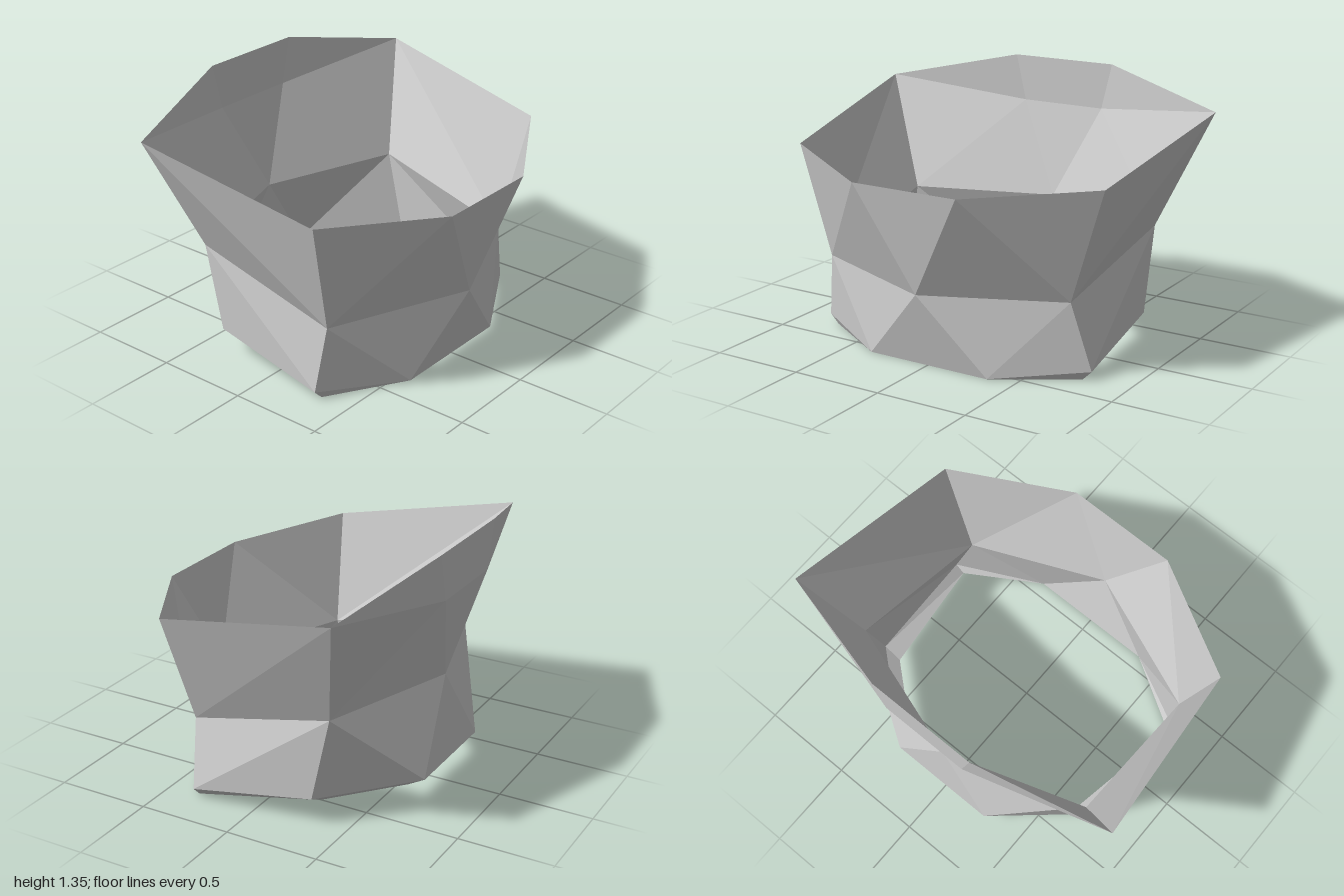
import * as THREE from 'three';

const grey = new THREE.MeshStandardMaterial({ color: 0xcccccc, flatShading: true, side: THREE.DoubleSide });
grey.name = 'plain grey';

// Symmetric ring of eight points from its +x half: front corner, front, back, back corner.
function ring(frontCorner, front, back, backCorner) {
  const m = ([x, y, z]) => [-x, y, z];
  return [frontCorner, front, m(front), m(frontCorner), m(backCorner), m(back), back, backCorner];
}

// Faceted band between two rings; each letter picks the diagonal of one quad.
function band(name, top, bottom, diagonals) {
  const pos = [];
  const same = (p, q) => p.every((v, i) => v === q[i]);
  const tri = (p, q, r) => {
    if (!same(p, q) && !same(q, r) && !same(p, r)) pos.push(...p, ...q, ...r);
  };
  for (let i = 0; i < 8; i++) {
    const j = (i + 1) % 8;
    const a = top[i], b = top[j], c = bottom[j], d = bottom[i];
    if (diagonals[i] === '/') { tri(a, b, d); tri(b, c, d); }
    else { tri(a, b, c); tri(a, c, d); }
  }
  const g = new THREE.BufferGeometry();
  g.setAttribute('position', new THREE.Float32BufferAttribute(pos, 3));
  g.computeVertexNormals();
  const mesh = new THREE.Mesh(g, grey);
  mesh.name = name;
  return mesh;
}

export function createModel() {
  const rim = ring([0.9, 1, 0.42], [0.3, 0.95, 0.77], [0.3, 1.35, -0.775], [1, 1.2, -0.58]);
  const upper = ring([0.9, 1, 0.42], [0.3, 0.95, 0.77], [0.24, 1.1, -0.775], [1, 1.2, -0.58]);
  // The waist has a single point at the front and at the back, and is slightly uneven.
  const waist = ring([0.7, 0.4, 0.37], [0, 0.4, 0.675], [0, 0.6, -0.675], [0.75, 0.6, -0.43]);
  waist[2] = waist[1];
  waist[5] = waist[6];
  waist[3] = [-0.75, 0.4, 0.37];
  const lower = ring([0.8, 0.05, 0.33], [0.35, 0, 0.575], [0.3, 0.15, -0.72], [0.75, 0.15, -0.33]);
  const base = ring([0.75, 0, 0.33], [0.35, 0, 0.575], [0.3, 0.1, -0.63], [0.65, 0.1, -0.33]);

  const group = new THREE.Group();
  group.name = 'facetedBand';
  group.add(
    band('raisedBack', rim, upper, '////////'),
    band('upperWall', upper, waist, '/\\\\//\\\\\\'),
    band('lowerWall', waist, lower, '\\\\//\\\\/\\'),
    band('bottomLip', lower, base, '////\\\\\\\\'),
  );
  return group;
}
